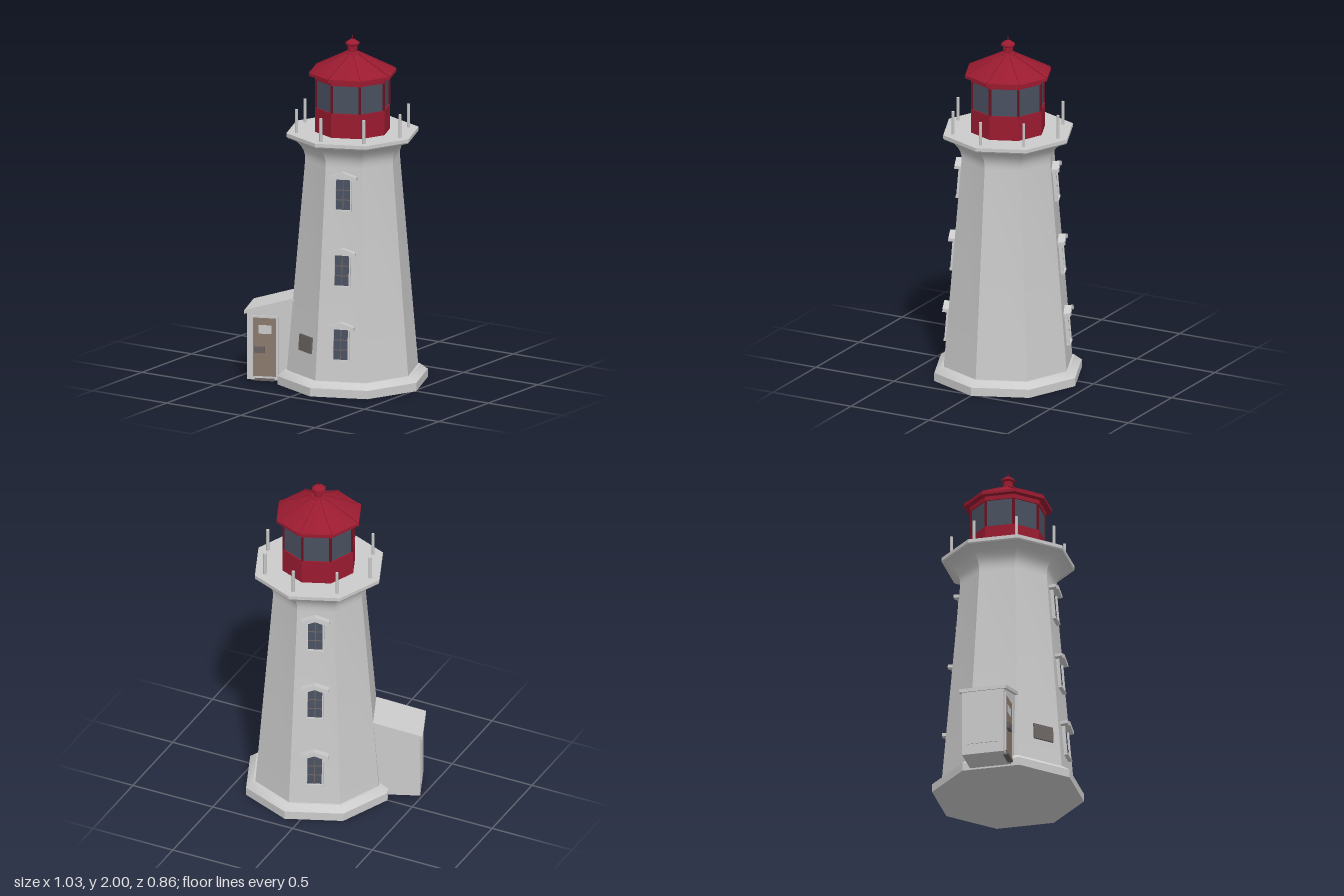
import * as THREE from 'three';
import { toCreasedNormals } from 'three/addons/utils/BufferGeometryUtils.js';

const mat = (color) => new THREE.MeshStandardMaterial({ color });
const grey = mat(0xcccccc);
const red = mat(0x9b1b30);
const darkRed = mat(0x6e1222);
const glass = mat(0x4a5060);
const brown = mat(0x8c7b6e);
const dark = mat(0x6a6462);
const COS = Math.cos(Math.PI / 8);
const SLOPE = 0.086; // inward lean of the tower corners

const wallApothem = (y) => (0.375 - (y - 0.08) * SLOPE) * COS;

export function createModel() {
  const model = new THREE.Group();
  const tower = new THREE.Group();
  tower.name = 'tower';
  tower.position.x = 0.085;
  model.add(tower);

  const add = (parent, name, geo, material, x = 0, y = 0, z = 0) => {
    const mesh = new THREE.Mesh(geo, material);
    mesh.name = name;
    mesh.position.set(x, y, z);
    parent.add(mesh);
    return mesh;
  };
  const box = (parent, name, w, h, d, material, x, y, z) =>
    add(parent, name, new THREE.BoxGeometry(w, h, d), material, x, y, z);
  // Eight-sided solid from a [radius, height] profile
  const octagon = (name, profile, material) => {
    const points = profile.map(([r, y]) => new THREE.Vector2(r, y));
    const geo = toCreasedNormals(new THREE.LatheGeometry(points, 8), 0.5);
    return add(tower, name, geo, material);
  };
  // Group whose +z points out of the wall at angle a (from front towards left)
  const onWall = (name, a, y, distance, tilt = 0) => {
    const g = new THREE.Group();
    g.name = name;
    g.rotation.order = 'YXZ';
    g.rotation.set(-tilt, a, 0);
    g.position.set(Math.sin(a) * distance, y, Math.cos(a) * distance);
    tower.add(g);
    return g;
  };
  const polygon = (pts) => new THREE.Shape(pts.map(([x, y]) => new THREE.Vector2(x, y)));
  const extrude = (pts, depth) =>
    new THREE.ExtrudeGeometry(polygon(pts), { depth, bevelEnabled: false });
  // Bar between two points, used on the lantern corners
  const bar = (name, from, to, size, material) => {
    const a = new THREE.Vector3(...from);
    const b = new THREE.Vector3(...to);
    const mesh = box(tower, name, size, size, a.distanceTo(b), material, 0, 0, 0);
    mesh.position.copy(a).lerp(b, 0.5);
    mesh.lookAt(b.add(tower.position));
  };

  // Masonry
  octagon('base', [[0, 0], [0.43, 0], [0.43, 0.048], [0.388, 0.08], [0, 0.08]], grey);
  octagon('shaft', [[0.375, 0.08], [0.271, 1.29], [0.272, 1.32], [0.279, 1.345],
    [0.293, 1.37], [0.315, 1.395], [0.343, 1.415], [0.36, 1.424]], grey);
  octagon('deck', [[0, 1.422], [0.372, 1.422], [0.378, 1.43], [0.378, 1.45], [0, 1.45]], grey);

  // Lantern room and roof
  octagon('lanternWall', [[0.215, 1.45], [0.215, 1.59], [0, 1.59]], red);
  octagon('lanternGlass', [[0.207, 1.585], [0.207, 1.76]], glass);
  octagon('lanternBand', [[0, 1.75], [0.215, 1.75], [0.215, 1.785]], red);
  octagon('roof', [[0, 1.775], [0.25, 1.775], [0.25, 1.792], [0.045, 1.895], [0, 1.895]], red);
  octagon('finial', [[0.045, 1.89], [0.042, 1.903], [0.028, 1.905], [0.028, 1.94], [0.04, 1.947],
    [0.04, 1.957], [0.012, 1.976], [0, 1.978]], red);
  add(tower, 'spike', new THREE.CylinderGeometry(0.002, 0.005, 0.03, 6), darkRed, 0, 1.985, 0);

  // Corner bars, roof ribs and railing posts
  const postGeo = new THREE.CylinderGeometry(0.009, 0.009, 0.135, 6);
  for (let i = 0; i < 8; i++) {
    const a = (i * Math.PI) / 4;
    const s = Math.sin(a);
    const c = Math.cos(a);
    bar('windowBar', [s * 0.207, 1.59, c * 0.207], [s * 0.207, 1.75, c * 0.207], 0.012, darkRed);
    bar('roofRib', [s * 0.245, 1.794, c * 0.245], [s * 0.045, 1.895, c * 0.045], 0.011, red);
    add(tower, 'railingPost', postGeo, grey, s * 0.32, 1.5175, c * 0.32);
  }

  // Windows up two opposite walls
  const tilt = Math.atan(SLOPE * COS);
  const hood = [[-0.078, 0], [-0.06, -0.004], [0, 0.018], [0.06, -0.004], [0.078, 0],
    [0.078, 0.018], [0, 0.044], [-0.078, 0.018]];
  for (const a of [Math.PI / 8, (9 * Math.PI) / 8]) {
    for (const y of [0.29, 0.71, 1.14]) {
      const w = onWall('window', a, y, wallApothem(y), tilt);
      box(w, 'pane', 0.086, 0.17, 0.01, glass, 0, 0, 0.001);
      for (const side of [-1, 1]) {
        box(w, 'jamb', 0.008, 0.175, 0.024, grey, side * 0.045, 0, 0.006);
        box(w, 'windowRail', 0.086, 0.005, 0.008, dark, 0, side * 0.028, 0.005);
      }
      box(w, 'mullion', 0.004, 0.17, 0.008, dark, 0, 0, 0.005);
      box(w, 'sill', 0.1, 0.008, 0.028, grey, 0, -0.088, 0.008);
      add(w, 'hood', extrude(hood, 0.05), grey, 0, 0.088, -0.01);
    }
  }

  // Wall plaque
  const plaque = onWall('plaque', -Math.PI / 8, 0.267, wallApothem(0.267), tilt);
  box(plaque, 'plaquePlate', 0.125, 0.093, 0.014, dark, 0.03, 0, 0.002);

  // Lean-to porch
  const porch = onWall('porch', -Math.PI * 0.375, 0, 0);
  const sideProfile = (name, pts, width) => {
    const geo = extrude(pts, width).translate(0, 0, -width / 2).rotateY(-Math.PI / 2);
    add(porch, name, geo, grey);
  };
  sideProfile('porchWalls', [[0.28, 0.01], [0.578, 0.01], [0.578, 0.4], [0.28, 0.484]], 0.24);
  sideProfile('porchRoof', [[0.29, 0.479], [0.592, 0.391], [0.592, 0.412], [0.29, 0.5]], 0.272);
  box(porch, 'endPanel', 0.175, 0.275, 0.008, grey, 0, 0.21, 0.578);

  // Door on the porch's front side
  const door = new THREE.Group();
  door.name = 'door';
  door.position.set(0.12, 0, 0.477);
  door.rotation.y = Math.PI / 2;
  porch.add(door);
  for (const side of [-1, 1]) box(door, 'doorJamb', 0.012, 0.35, 0.016, grey, side * 0.072, 0.2, 0);
  box(door, 'doorLintel', 0.156, 0.012, 0.016, grey, 0, 0.376, 0);
  box(door, 'doorLeaf', 0.132, 0.338, 0.01, brown, 0, 0.201, 0);
  box(door, 'doorWindow', 0.075, 0.05, 0.006, grey, 0.002, 0.303, 0.004);
  box(door, 'doorHandle', 0.06, 0.035, 0.022, dark, -0.028, 0.188, 0.012);
  box(door, 'doorStep', 0.11, 0.012, 0.03, dark, 0, 0.014, 0);

  return model;
}
